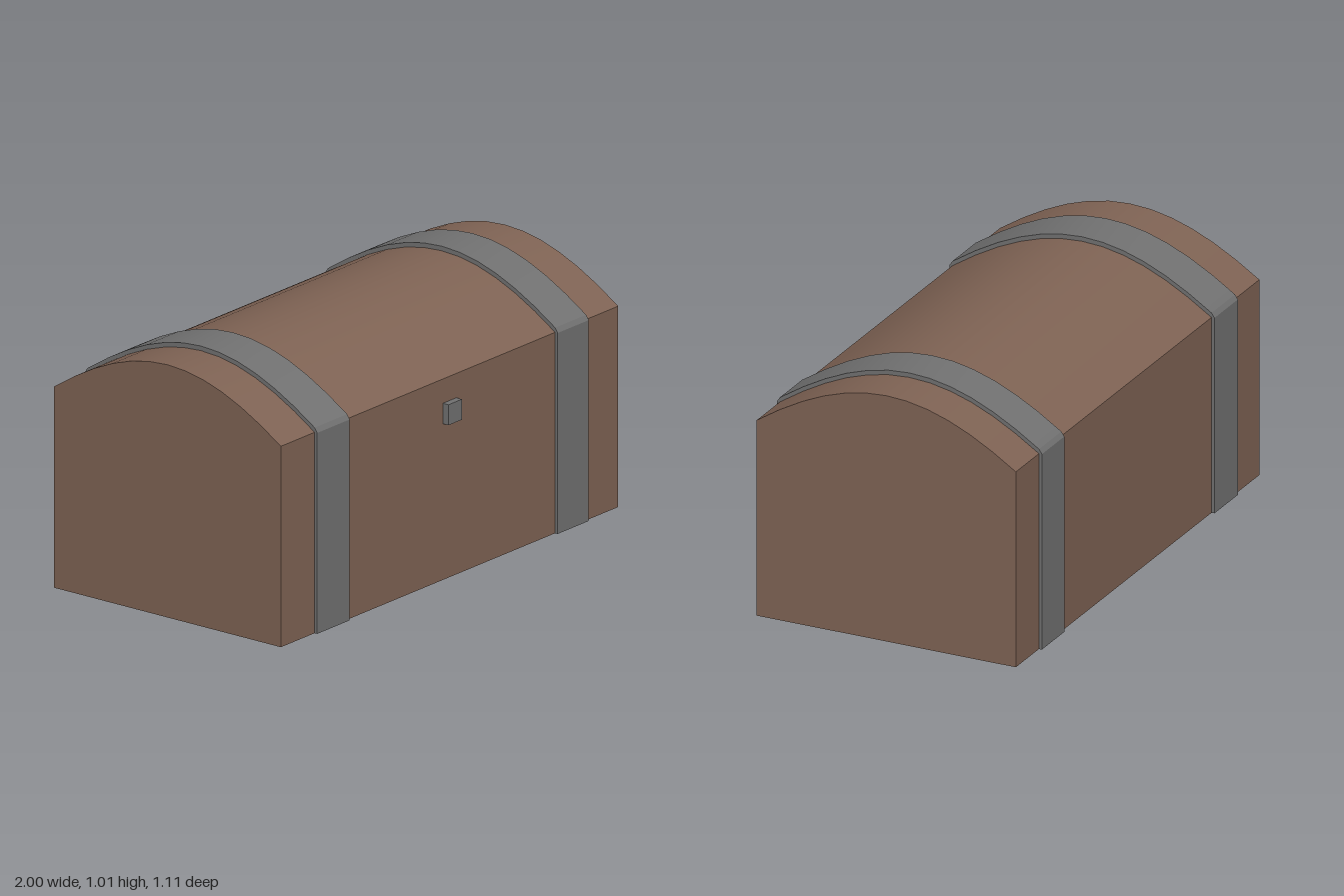
import * as THREE from 'three';
import { toCreasedNormals } from 'three/addons/utils/BufferGeometryUtils.js';

const HALF = 0.535;      // half depth of the chest
const EDGE = 0.785;      // height where the lid begins
const CENTRE_Z = -0.0075;

// Points of the domed lid, from one edge to the other, raised by lift
function lidArc(lift) {
  const y = EDGE + lift;
  return new THREE.CubicBezierCurve(
    new THREE.Vector2(HALF, y), new THREE.Vector2(0.14, y + 0.27),
    new THREE.Vector2(-0.14, y + 0.27), new THREE.Vector2(-HALF, y)
  ).getPoints(12);
}

// Extrude a depth/height profile along x between x0 and x1
function extrudeAcross(points, x0, x1) {
  const geometry = new THREE.ExtrudeGeometry(new THREE.Shape(points), {
    depth: x1 - x0, bevelEnabled: false,
  });
  geometry.rotateY(Math.PI / 2);
  geometry.translate(x0, 0, CENTRE_Z);
  return toCreasedNormals(geometry, 0.35);
}

export function createModel() {
  const wood = new THREE.MeshStandardMaterial({ name: 'brown wood', color: 0x7f6354 });
  const iron = new THREE.MeshStandardMaterial({ name: 'grey iron', color: 0x717171 });
  const group = new THREE.Group();
  group.name = 'chest';

  const add = (name, geometry, material) => {
    const mesh = new THREE.Mesh(geometry, material);
    mesh.name = name;
    group.add(mesh);
    return mesh;
  };

  // Box with domed lid
  const bodyProfile = [
    new THREE.Vector2(HALF, 0), ...lidArc(0), new THREE.Vector2(-HALF, 0),
  ];
  add('body', extrudeAcross(bodyProfile, -1, 1), wood);

  // Iron straps wrapped over front, lid and back
  const out = HALF + 0.012;
  const strapProfile = [
    new THREE.Vector2(out, 0), new THREE.Vector2(out, EDGE),
    ...lidArc(0.018),
    new THREE.Vector2(-out, EDGE), new THREE.Vector2(-out, 0),
    ...bodyProfile.slice().reverse(),
  ];
  add('rightStrap', extrudeAcross(strapProfile, -0.8, -0.607), iron);
  add('leftStrap', extrudeAcross(strapProfile, 0.626, 0.81), iron);

  // Small latch on the front
  add('latch', new THREE.BoxGeometry(0.08, 0.08, 0.04), iron).position.set(0, 0.65, 0.534);

  return group;
}
